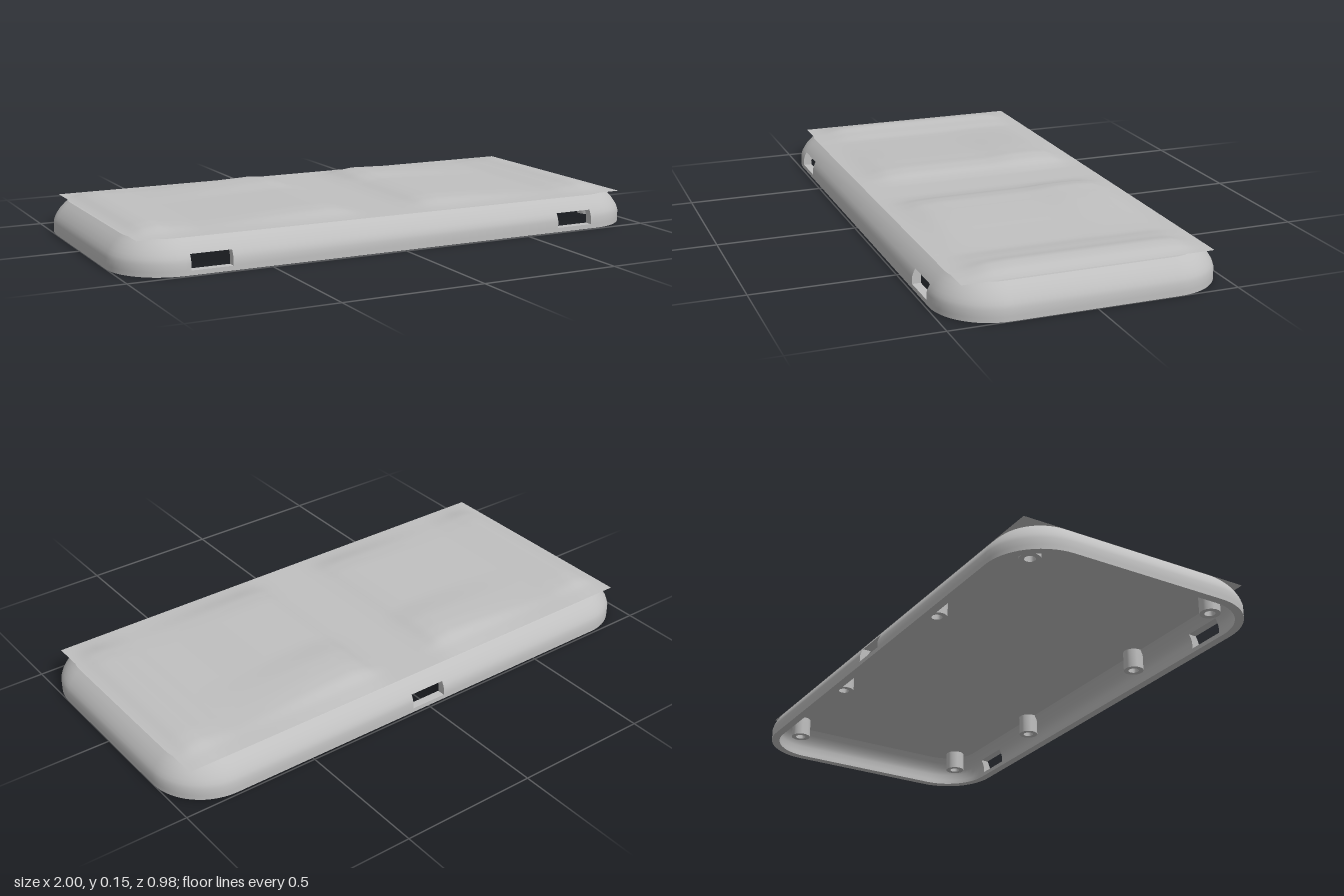
import * as THREE from 'three';
import { toCreasedNormals } from 'three/addons/utils/BufferGeometryUtils.js';

const RADIUS = 0.2, CX = 0.8, CZ = 0.29, WALL = 0.03, CORNER_STEPS = 14;

// Wall profile from the rim upwards: [inset, y]
const PROFILE = [[0, 0], [0, 0.016], [0, 0.04], [0.005, 0.055], [0.012, 0.068],
  [0.024, 0.085], [0.04, 0.102], [0.054, 0.114]];
const INNER_TOP = 6;              // profile row where the inner ceiling sits
const WIN_LOW = 1, WIN_HIGH = 4;  // profile rows between which the slots are cut

const FRONT_SLOTS = [[-0.78, -0.635], [0.635, 0.78]];
const BACK_SLOTS = [[-0.07, 0.068]];

// Columns around the rounded rectangle; slot marks a column that starts an opening
function makeColumns() {
  const cols = [];
  const side = (slots, z, n, dir) => {
    const ordered = dir > 0 ? slots : slots.map(([a, b]) => [b, a]).reverse();
    for (const [a, b] of ordered) {
      cols.push({ x: a, z, nx: 0, nz: n, slot: true }, { x: b, z, nx: 0, nz: n });
    }
  };
  const corner = (x, z, start) => {
    for (let i = 0; i <= CORNER_STEPS; i++) {
      const t = start + (i / CORNER_STEPS) * Math.PI / 2;
      cols.push({ x, z, nx: Math.sin(t), nz: Math.cos(t) });
    }
  };
  side(FRONT_SLOTS, CZ, 1, 1);
  corner(CX, CZ, 0);
  corner(CX, -CZ, Math.PI / 2);
  side(BACK_SLOTS, -CZ, -1, -1);
  corner(-CX, -CZ, Math.PI);
  corner(-CX, CZ, Math.PI * 1.5);
  return cols;
}

// Hollow shell, open underneath, with slots through the walls
function shellGeometry() {
  const cols = makeColumns(), pos = [];
  const point = (j, k, inner) => {
    const c = cols[j % cols.length], r = RADIUS - PROFILE[k][0] - (inner ? WALL : 0);
    return [c.x + c.nx * r, PROFILE[k][1], c.z + c.nz * r];
  };
  const tri = (a, b, c) => pos.push(...a, ...b, ...c);
  const quad = (a, b, c, d) => { tri(a, b, c); tri(a, c, d); };
  const top = PROFILE.length - 1;

  cols.forEach((col, j) => {
    const n = j + 1;
    for (let k = 0; k < top; k++) {
      const open = col.slot && k >= WIN_LOW && k < WIN_HIGH;
      if (open) {
        // slot cheeks
        quad(point(j, k), point(j, k + 1), point(j, k + 1, true), point(j, k, true));
        quad(point(n, k), point(n, k, true), point(n, k + 1, true), point(n, k + 1));
        continue;
      }
      quad(point(j, k), point(n, k), point(n, k + 1), point(j, k + 1));
      if (k < INNER_TOP) {
        quad(point(n, k, true), point(j, k, true), point(j, k + 1, true), point(n, k + 1, true));
      }
    }
    if (col.slot) {
      // slot sill and head
      quad(point(j, WIN_LOW), point(j, WIN_LOW, true), point(n, WIN_LOW, true), point(n, WIN_LOW));
      quad(point(j, WIN_HIGH), point(n, WIN_HIGH), point(n, WIN_HIGH, true), point(j, WIN_HIGH, true));
    }
    // bottom rim, top plate and ceiling
    quad(point(n, 0), point(j, 0), point(j, 0, true), point(n, 0, true));
    tri(point(j, top), point(n, top), [0, PROFILE[top][1], 0]);
    tri(point(n, INNER_TOP, true), point(j, INNER_TOP, true), [0, PROFILE[INNER_TOP][1], 0]);
  });

  const g = new THREE.BufferGeometry();
  g.setAttribute('position', new THREE.Float32BufferAttribute(pos, 3));
  return toCreasedNormals(g, 0.5);
}

// Smooth interpolation through [position, value] pairs
function ramp(points, v) {
  if (v <= points[0][0]) return points[0][1];
  for (let i = 1; i < points.length; i++) {
    const [x0, y0] = points[i - 1], [x1, y1] = points[i];
    if (v <= x1) {
      const t = (v - x0) / (x1 - x0);
      return y0 + (y1 - y0) * (0.5 * t + 0.5 * t * t * (3 - 2 * t));
    }
  }
  return points[points.length - 1][1];
}

// Rectangular cover sheet with two shallow dished pads
function coverGeometry() {
  const outer = [[0.66, 0], [0.78, 0.013], [0.84, 0.022], [0.88, 0.017], [0.93, 0.002], [0.945, 0]];
  const inner = [[0.07, 0], [0.11, 0.006], [0.17, 0.024], [0.22, 0.03], [0.3, 0.027], [0.68, 0.005], [0.8, 0]];
  const fade = [[-0.44, 0], [-0.39, 0.25], [-0.33, 0.87], [-0.27, 1], [0.25, 1], [0.31, 0.85], [0.4, 0.12], [0.43, 0]];
  const backLift = [[-0.2, 1], [-0.08, 0.72]];
  const g = new THREE.PlaneGeometry(1.886, 0.872, 120, 50);
  g.rotateX(-Math.PI / 2);
  g.translate(0, 0, -0.003);
  const p = g.attributes.position;
  for (let i = 0; i < p.count; i++) {
    const x = Math.abs(p.getX(i)), z = p.getZ(i);
    const h = Math.max(ramp(outer, x), ramp(inner, x) * ramp(backLift, z));
    p.setY(i, 0.117 + h * ramp(fade, z));
  }
  g.computeVertexNormals();
  return g;
}

// Hollow screw post
function postGeometry() {
  const profile = [[0.019, 0.102], [0.019, 0.03], [0.036, 0.03], [0.036, 0.102]];
  const g = new THREE.LatheGeometry(profile.map(([x, y]) => new THREE.Vector2(x, y)), 24);
  return toCreasedNormals(g, 0.6);
}

export function createModel() {
  const grey = new THREE.MeshStandardMaterial({ color: 0xc0c0c0 });
  grey.name = 'grey plastic';
  const sheetGrey = grey;
  sheetGrey.side = THREE.DoubleSide;

  const model = new THREE.Group();
  model.name = 'enclosureLid';
  const add = (name, geometry, x = 0, z = 0) => {
    const mesh = new THREE.Mesh(geometry, grey);
    mesh.name = name;
    mesh.position.set(x, 0, z);
    model.add(mesh);
  };

  add('shell', shellGeometry());
  add('coverSheet', coverGeometry());

  // Posts in the corners and along both long walls
  const post = postGeometry();
  for (const sx of [-1, 1]) {
    for (const sz of [-1, 1]) {
      add('cornerPost', post, sx * 0.855, sz * 0.36);
      add('sidePost', post, sx * 0.355, sz * 0.412);
    }
  }
  return model;
}
